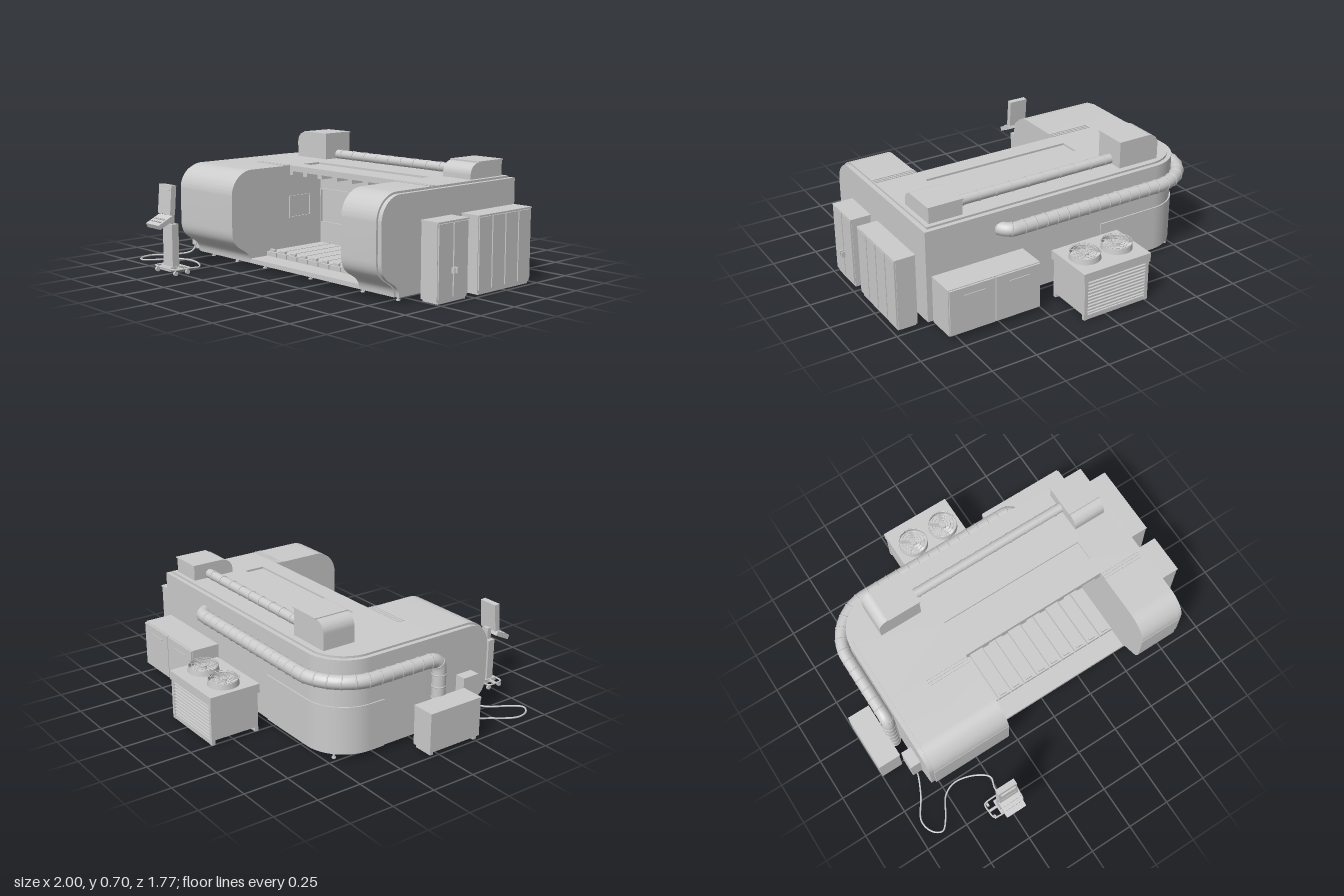
import * as THREE from 'three';
import { toCreasedNormals } from 'three/addons/utils/BufferGeometryUtils.js';

const mat = new THREE.MeshStandardMaterial({ color: 0xcccccc, side: THREE.DoubleSide });

export function createModel() {
  const model = new THREE.Group();
  const add = (name, geo, parent = model) => {
    const m = new THREE.Mesh(geo, mat);
    m.name = name;
    parent.add(m);
    return m;
  };
  const group = (name) => {
    const g = new THREE.Group();
    g.name = name;
    model.add(g);
    return g;
  };
  // box given by its extents
  const box = (name, x0, x1, y0, y1, z0, z1, parent) => {
    const m = add(name, new THREE.BoxGeometry(x1 - x0, y1 - y0, z1 - z0), parent);
    m.position.set((x0 + x1) / 2, (y0 + y1) / 2, (z0 + z1) / 2);
    return m;
  };
  const cyl = (name, r, h, x, y, z, parent, sides = 20) => {
    const m = add(name, new THREE.CylinderGeometry(r, r, h, sides), parent);
    m.position.set(x, y, z);
    return m;
  };
  const extrude = (shape, depth) => toCreasedNormals(
    new THREE.ExtrudeGeometry(shape, { depth, bevelEnabled: false, curveSegments: 16 }), 0.5);
  // side profile drawn as (-z, y), swept along x
  const sweepX = (name, shape, x0, x1, parent) =>
    add(name, extrude(shape, x1 - x0).rotateY(Math.PI / 2).translate(x0, 0, 0), parent);
  // plan drawn as (x, -z), raised along y
  const raise = (name, shape, y0, y1, parent) =>
    add(name, extrude(shape, y1 - y0).rotateX(-Math.PI / 2).translate(0, y0, 0), parent);
  const poly = (pts) => new THREE.Shape(pts.map((p) => new THREE.Vector2(...p)));

  // ---- machine housing ----
  const L = -0.31, R = 0.56, CUT = 0.08, WALL = -0.15;
  const plan = (d, notch) => {
    const s = new THREE.Shape();
    s.moveTo(-0.8 + d, -CUT);
    if (notch) [[L, -CUT], [L, -WALL], [R, -WALL], [R, -CUT]].forEach((p) => s.lineTo(...p));
    s.lineTo(0.83 - d, -CUT);
    s.lineTo(0.83 - d, 0.51 - d);
    s.lineTo(-0.58, 0.51 - d);
    s.absarc(-0.58, 0.29, 0.22 - d, Math.PI / 2, Math.PI, false);
    s.closePath();
    return s;
  };
  const body = group('housing');
  raise('rearBody', plan(0, true), 0.03, 0.52, body);
  raise('roofRim', plan(0, false), 0.52, 0.541, body);
  const roof = plan(0.025, false);
  roof.holes.push(new THREE.Path([[-0.31, 0.02], [0.56, 0.02], [0.56, 0.14], [-0.31, 0.14]]
    .map((p) => new THREE.Vector2(...p))));
  raise('roofPanel', roof, 0.541, 0.552, body);

  // front pods with rolled top and tucked-in base
  const profile = (d) => {
    const s = new THREE.Shape();
    s.moveTo(-CUT, 0.03);
    s.lineTo(-0.375 + d, 0.03);
    s.bezierCurveTo(-0.375 + d, 0.13, -0.5 + d, 0.09, -0.5 + d, 0.22);
    s.lineTo(-0.5 + d, 0.41);
    s.absarc(-0.36, 0.412, 0.14 - d, Math.PI, Math.PI / 2, true);
    s.lineTo(-CUT, 0.552 - d);
    s.closePath();
    return s;
  };
  for (const [name, x0, x1, e0, e1] of [['rightPod', -0.775, L, -0.8, -0.775], ['leftPod', R, 0.805, 0.805, 0.83]]) {
    sweepX(name, profile(0), x0, x1, body);
    sweepX(name + 'EndPanel', profile(0.011), e0, e1, body);
    box(name + 'UpperSeam', x0, x1, 0.417, 0.421, 0.4, 0.502, body);
    for (const y of [0.115, 0.132]) box(name + 'LowerSeam', x0, x1, y, y + 0.004, 0.38, y < 0.12 ? 0.434 : 0.452, body);
  }
  // roof rails
  for (const [x0, x1] of [[-0.56, L], [R, 0.8]])
    for (const z of [0.08, 0.096, 0.113]) box('roofRail', x0, x1, 0.55, 0.556, z, z + 0.009, body);

  // work bay
  const bay = group('workBay');
  box('floor', L, R, 0.03, 0.055, WALL, 0.375, bay);
  for (let i = 0; i < 10; i++) {
    const x = -0.31 + i * 0.087;
    const s = sweepX('bedSlat', poly([[-0.26, 0.055], [-0.26, 0.08], [0.15, 0.08], [0.15, 0.055]]), x + 0.004, x + 0.083, bay);
    s.position.y = 0.002;
    box('bedClip', x + 0.02, x + 0.06, 0.08, 0.096, 0.235, 0.25, bay);
  }
  for (const y of [0.2, 0.394]) box('rearDoorFrame', -0.3, 0.545, y, y + 0.008, WALL, WALL + 0.01, bay);
  for (const x of [-0.3, 0.537]) box('rearDoorFrame', x, x + 0.008, 0.2, 0.402, WALL, WALL + 0.01, bay);
  for (let i = 0; i < 8; i++) {
    const x = L + 0.005 + i * 0.1215;
    box('roofBracket', Math.max(x - 0.018, L), Math.min(x + 0.018, R), 0.498, 0.52, 0.0, CUT, bay);
  }
  box('bayLintel', L, R, 0.5, 0.52, -0.01, 0.0, bay);
  // window on the bay's side wall
  for (const y of [0.25, 0.37]) box('sideWindowFrame', L, L + 0.007, y, y + 0.008, -0.07, 0.09, bay);
  for (const z of [-0.07, 0.082]) box('sideWindowFrame', L, L + 0.007, 0.25, 0.378, z, z + 0.008, bay);

  // curved skirt round the rear corner
  const skirt = new THREE.Shape();
  skirt.moveTo(-0.22, 0.51);
  skirt.lineTo(-0.22, 0.517);
  skirt.lineTo(-0.58, 0.517);
  skirt.absarc(-0.58, 0.29, 0.227, Math.PI / 2, Math.PI, false);
  skirt.lineTo(-0.807, 0.2);
  skirt.lineTo(-0.8, 0.2);
  skirt.lineTo(-0.8, 0.29);
  skirt.absarc(-0.58, 0.29, 0.22, Math.PI, Math.PI / 2, true);
  raise('cornerSkirt', skirt, 0.03, 0.29, body);

  // levelling feet
  for (const x of [-0.72, -0.5, -0.25, 0.13, 0.53, 0.78])
    for (const z of [-0.45, -0.08, 0.32]) {
      cyl('foot', 0.006, 0.03, x, 0.018, z, body, 10);
      cyl('footPad', 0.011, 0.006, x, 0.004, z, body, 10);
    }

  // ---- roof units and connecting duct ----
  const top = group('roofUnits');
  const hood = new THREE.Shape();
  hood.moveTo(-0.38, 0.55);
  hood.lineTo(-0.38, 0.7);
  hood.lineTo(-0.57, 0.7);
  hood.absarc(-0.57, 0.64, 0.06, Math.PI / 2, Math.PI, false);
  hood.lineTo(-0.63, 0.55);
  add('largeHood', extrude(hood, 0.19).translate(0, 0, -0.45), top);
  box('largeHoodLid', -0.57, -0.375, 0.698, 0.705, -0.455, -0.255, top);
  const cowl = new THREE.Shape();
  cowl.moveTo(0.46, 0.55);
  cowl.lineTo(0.46, 0.635);
  cowl.lineTo(0.27, 0.635);
  cowl.absarc(0.27, 0.575, 0.06, Math.PI / 2, Math.PI, false);
  cowl.lineTo(0.21, 0.55);
  sweepX('smallHood', cowl, 0.59, 0.78, top);
  box('smallHoodLid', 0.585, 0.785, 0.634, 0.642, -0.465, -0.27, top);
  cyl('roofDuct', 0.027, 0.97, 0.105, 0.575, -0.36, top).rotation.z = Math.PI / 2;
  for (let i = 0; i < 10; i++) cyl('roofDuctBand', 0.0295, 0.012, -0.34 + i * 0.098, 0.575, -0.36, top).rotation.z = Math.PI / 2;

  // ---- extraction hose round the back ----
  const hose = group('extractionHose');
  const V = (x, y, z) => new THREE.Vector3(x, y, z);
  const path = new THREE.CurvePath();
  const k = 0.14;
  path.add(new THREE.QuadraticBezierCurve3(V(0.4, 0.44, -0.5), V(0.38, 0.44, -0.55), V(0.33, 0.44, -0.55)));
  path.add(new THREE.LineCurve3(V(0.33, 0.44, -0.55), V(-0.57, 0.44, -0.55)));
  path.add(new THREE.CubicBezierCurve3(V(-0.57, 0.44, -0.55), V(-0.57 - k, 0.44, -0.55), V(-0.838, 0.44, -0.29 - k), V(-0.838, 0.44, -0.29)));
  path.add(new THREE.LineCurve3(V(-0.838, 0.44, -0.29), V(-0.838, 0.44, 0.06)));
  path.add(new THREE.QuadraticBezierCurve3(V(-0.838, 0.44, 0.06), V(-0.838, 0.44, 0.125), V(-0.838, 0.375, 0.125)));
  path.add(new THREE.LineCurve3(V(-0.838, 0.375, 0.125), V(-0.838, 0.03, 0.125)));
  add('hose', new THREE.TubeGeometry(path, 160, 0.037, 18, false), hose);
  for (let i = 0; i <= 34; i++) {
    const ring = add('hoseRib', new THREE.TorusGeometry(0.036, 0.004, 6, 20), hose);
    ring.position.copy(path.getPointAt(i / 34));
    ring.lookAt(ring.position.clone().add(path.getTangentAt(i / 34)));
  }

  // ---- cabinets ----
  const cabs = group('cabinets');
  const sideCabinet = (name, z0, z1, doors) => {
    box(name, 0.865, 0.972, 0.012, 0.402, z0, z1, cabs);
    box(name + 'Top', 0.863, 0.98, 0.4, 0.408, z0 - 0.002, z1 + 0.002, cabs);
    box(name + 'Plinth', 0.87, 0.97, 0, 0.014, z0 + 0.01, z1 - 0.01, cabs);
    const w = (z1 - z0) / doors;
    for (let i = 0; i < doors; i++)
      box(name + 'Door', 0.97, 0.98, 0.025, 0.397, z0 + i * w + 0.004, z0 + (i + 1) * w - 0.004, cabs);
  };
  sideCabinet('largeCabinet', -0.465, -0.05, 4);
  sideCabinet('smallCabinet', 0.03, 0.25, 2);
  box('doorHandle', 0.98, 1.0, 0.145, 0.175, 0.125, 0.133, cabs);
  box('doorHandle', 0.98, 1.0, 0.145, 0.175, 0.147, 0.155, cabs);
  box('rightCabinet', -1.0, -0.872, 0.025, 0.235, -0.06, 0.27, cabs);
  box('rightCabinetTop', -1.0, -0.868, 0.235, 0.242, -0.06, 0.275, cabs);
  for (const z of [-0.055, 0.108]) box('rightCabinetDoor', -1.0, -0.995, 0.03, 0.23, z, z + 0.155, cabs);
  for (const z of [-0.04, 0.25]) box('cabinetFoot', -0.99, -0.88, 0.005, 0.026, z - 0.01, z + 0.01, cabs);
  box('junctionBox', -0.86, -0.8, 0.12, 0.29, 0.28, 0.38, cabs);
  box('rearCabinet', 0.27, 0.8, 0.025, 0.288, -0.672, -0.51, cabs);
  for (const x of [0.274, 0.538]) {
    box('rearCabinetDoor', x, x + 0.258, 0.03, 0.284, -0.682, -0.67, cabs);
    box('rearCabinetHandle', x + 0.06, x + 0.18, 0.235, 0.243, -0.686, -0.68, cabs);
  }

  // ---- chiller with two fans ----
  const chill = group('chiller');
  box('chillerBody', -0.26, 0.135, 0.03, 0.235, -0.87, -0.6, chill);
  box('chillerTop', -0.27, 0.145, 0.228, 0.278, -0.885, -0.592, chill);
  for (const x of [-0.262, 0.117]) box('chillerPost', x, x + 0.02, 0.005, 0.23, -0.882, -0.862, chill);
  for (let i = 0; i < 10; i++) box('louvre', -0.242, 0.117, 0.04, 0.046, -0.882, -0.865, chill).position.y += i * 0.019;
  for (const z of [-0.87, -0.61]) box('chillerRail', -0.26, 0.135, 0.005, 0.03, z - 0.01, z + 0.01, chill);
  for (const fx of [-0.158, 0.041]) {
    const fan = new THREE.Group();
    fan.name = 'fan';
    fan.position.set(fx, 0.278, -0.74);
    chill.add(fan);
    add('fanShroud', new THREE.CylinderGeometry(0.08, 0.084, 0.03, 32, 1, true), fan).position.y = 0.015;
    cyl('fanHub', 0.02, 0.02, 0, 0.022, 0, fan);
    for (const r of [0.03, 0.046, 0.063, 0.081])
      add('guardRing', new THREE.TorusGeometry(r, 0.0018, 6, 32).rotateX(Math.PI / 2), fan).position.y = 0.036;
    for (let i = 0; i < 8; i++)
      add('guardSpoke', new THREE.BoxGeometry(0.08, 0.002, 0.003).translate(0.041, 0.036, 0).rotateY(i * Math.PI / 4), fan);
    for (let i = 0; i < 5; i++)
      add('fanBlade', new THREE.BoxGeometry(0.058, 0.002, 0.026).rotateX(0.4).translate(0.047, 0.016, 0).rotateY(i * Math.PI * 0.4), fan);
  }

  // ---- operator pendant ----
  const pend = group('pendant');
  const px = -0.51;
  box('post', px - 0.043, px + 0.043, 0.04, 0.275, 0.745, 0.788, pend);
  box('neck', px - 0.02, px + 0.02, 0.27, 0.34, 0.755, 0.78, pend);
  box('base', px - 0.05, px + 0.05, 0.02, 0.042, 0.725, 0.81, pend);
  const screen = box('screenHousing', px - 0.057, px + 0.057, 0.33, 0.49, 0.77, 0.802, pend);
  screen.rotation.x = -0.08;
  for (const y of [0.37, 0.46]) box('screenFrame', px - 0.045, px + 0.045, y, y + 0.005, 0.79, 0.807, pend);
  const desk = new THREE.Group();
  desk.name = 'controlDesk';
  desk.position.set(px, 0.293, 0.835);
  desk.rotation.x = 0.45;
  pend.add(desk);
  box('deskPlate', -0.06, 0.06, -0.013, 0.013, -0.05, 0.05, desk);
  for (let i = 0; i < 10; i++) box('button', -0.048 + (i % 5) * 0.02, -0.035 + (i % 5) * 0.02, 0.013, 0.018, i < 5 ? -0.01 : 0.015, i < 5 ? 0 : 0.025, desk);
  // bumper hoop and castors
  const hoop = new THREE.CatmullRomCurve3([[-0.09, 0.71], [0.09, 0.71], [0.1, 0.76], [0.085, 0.81], [-0.085, 0.81], [-0.1, 0.76]]
    .map(([x, z]) => V(px + x, 0.035, z)), true, 'catmullrom', 0.3);
  add('bumperHoop', new THREE.TubeGeometry(hoop, 60, 0.005, 8, true), pend);
  box('hoopBar', px - 0.1, px + 0.1, 0.028, 0.038, 0.755, 0.768, pend);
  for (const x of [-0.085, 0.085])
    for (const z of [0.722, 0.8]) cyl('castor', 0.013, 0.012, px + x, 0.014, z, pend, 14).rotation.z = Math.PI / 2;

  // floor cable
  const cable = new THREE.CatmullRomCurve3([
    [-0.83, 0.13, 0.36], [-0.835, 0.03, 0.385], [-0.88, 0.01, 0.48], [-0.95, 0.01, 0.6], [-0.93, 0.01, 0.68], [-0.88, 0.01, 0.71],
    [-0.83, 0.01, 0.66], [-0.76, 0.01, 0.55], [-0.68, 0.01, 0.515], [-0.56, 0.01, 0.545], [-0.495, 0.01, 0.6],
    [-0.51, 0.012, 0.66], [px, 0.03, 0.73]].map((p) => V(...p)));
  add('cable', new THREE.TubeGeometry(cable, 100, 0.005, 8, false));
  return model;
}
